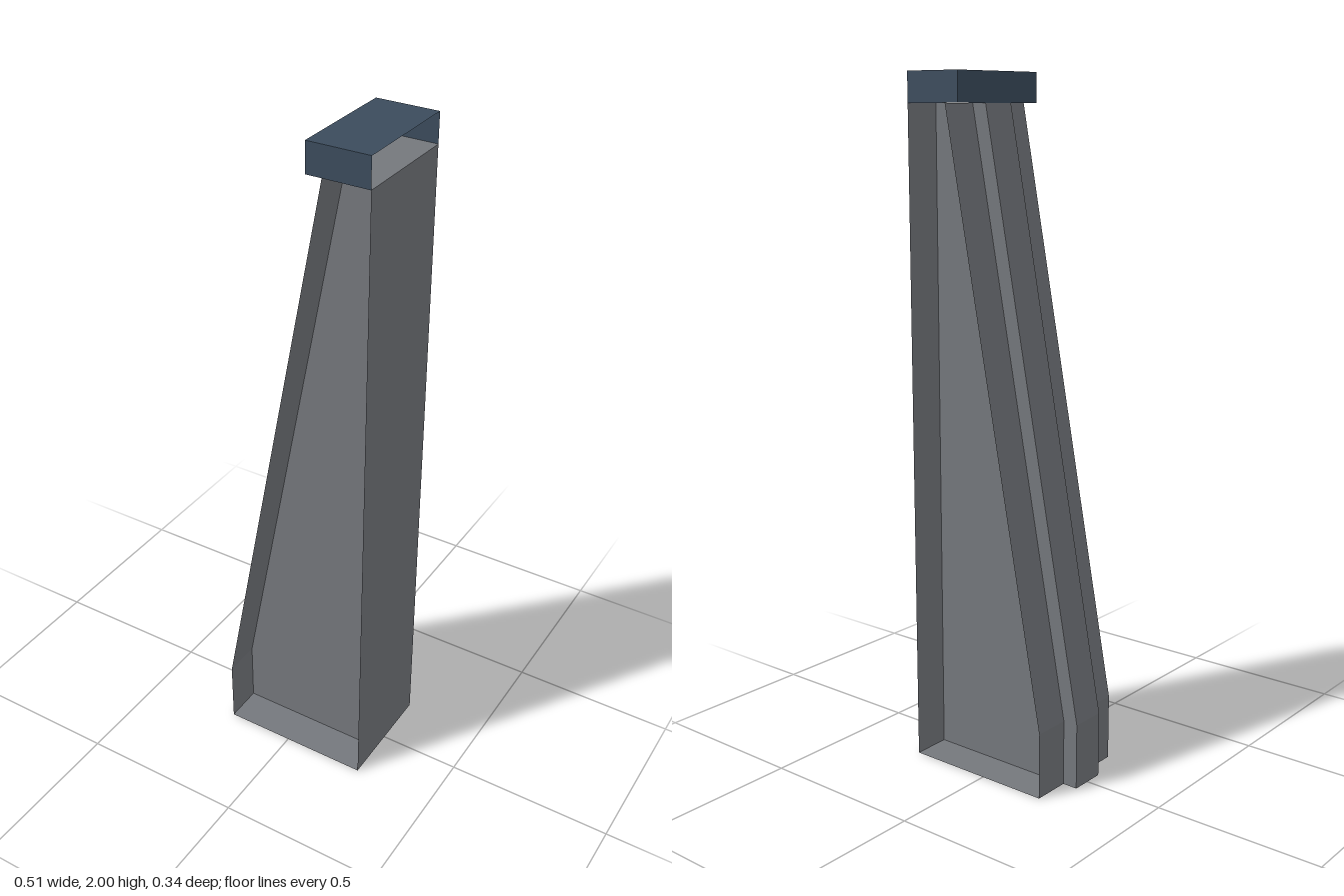
import * as THREE from 'three';

// Flat strips that follow an outline in x,y and span z0 to z1
function stripGeometry(points, z0, z1, closed) {
  const pos = [];
  const count = closed ? points.length : points.length - 1;
  for (let i = 0; i < count; i++) {
    const [ax, ay] = points[i];
    const [bx, by] = points[(i + 1) % points.length];
    pos.push(ax, ay, z0, ax, ay, z1, bx, by, z1);
    pos.push(ax, ay, z0, bx, by, z1, bx, by, z0);
  }
  const geometry = new THREE.BufferGeometry();
  geometry.setAttribute('position', new THREE.Float32BufferAttribute(pos, 3));
  geometry.computeVertexNormals();
  return geometry;
}

export function createModel() {
  const model = new THREE.Group();
  model.name = 'taperedColumn';
  const steel = new THREE.MeshStandardMaterial({ color: 0x74777c, side: THREE.DoubleSide });
  steel.name = 'grey steel';
  const blue = new THREE.MeshStandardMaterial({ color: 0x3b4b5c, side: THREE.DoubleSide });
  blue.name = 'dark blue cap';

  const add = (name, geometry, material, z = 0) => {
    const mesh = new THREE.Mesh(geometry, material);
    mesh.name = name;
    mesh.position.z = z;
    model.add(mesh);
    return mesh;
  };

  const back = 0.254, capX = 0.073, capY = 1.915, kneeY = 0.195;
  const halfWidth = 0.168, ribHalf = 0.054, step = 0.046;

  // Outline of the column, drawn in from the sloping edge by a given inset
  const outline = (inset) => [
    [back, 0], [back, capY], [capX + inset, capY], [-back + inset, kneeY], [-back + inset, 0],
  ];

  // Solid central rib, standing proud of the sloping flange
  const ribShape = new THREE.Shape(outline(0).map(([x, y]) => new THREE.Vector2(x, y)));
  add('centralRib', new THREE.ExtrudeGeometry(ribShape, { depth: ribHalf * 2, bevelEnabled: false }), steel, -ribHalf);

  // Thin flanges around the rib, leaving an open recess on each side
  add('frontFlange', stripGeometry(outline(step), ribHalf, halfWidth, true), steel);
  add('rearFlange', stripGeometry(outline(step), -halfWidth, -ribHalf, true), steel);

  // Cap: sloping-side wall and top, open towards the flat side
  add('capShell', stripGeometry([[back, 2], [capX, 2], [capX, capY]], -halfWidth, halfWidth, false), blue);
  for (const side of [1, -1]) {
    const plate = add(side > 0 ? 'capFrontPlate' : 'capRearPlate',
      new THREE.PlaneGeometry(back - capX, 2 - capY), blue, side * halfWidth);
    plate.position.x = (back + capX) / 2;
    plate.position.y = (2 + capY) / 2;
    if (side < 0) plate.rotation.y = Math.PI;
  }
  return model;
}
